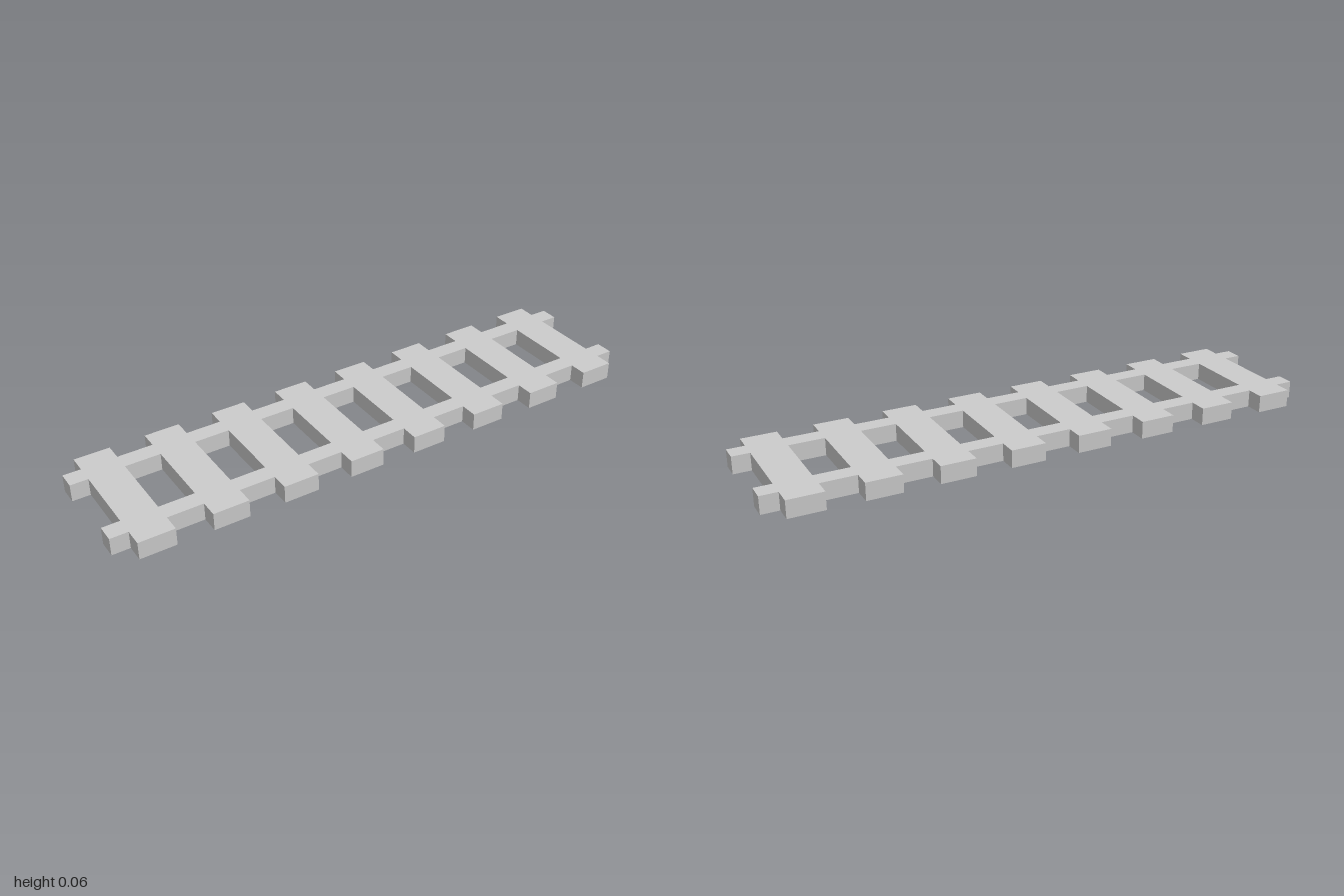
import * as THREE from 'three';

const COUNT = 8;            // sleepers
const PITCH = 0.25;         // sleeper spacing
const HALF_WIDTH = 0.0625;  // half a sleeper's width
const HALF_LENGTH = 0.25;   // half a sleeper's length
const RAIL_OUT = 0.1875;    // outer edge of each rail
const RAIL_IN = 0.125;      // inner edge of each rail
const HEIGHT = 0.0625;

const sleeperX = (i) => (i - (COUNT - 1) / 2) * PITCH;

// Outline of the flush rails and sleepers, with a hole between each sleeper pair
function trackShape() {
  const side = [[-1, -RAIL_OUT]];
  for (let i = 0; i < COUNT; i++) {
    const a = sleeperX(i) - HALF_WIDTH, b = sleeperX(i) + HALF_WIDTH;
    side.push([a, -RAIL_OUT], [a, -HALF_LENGTH], [b, -HALF_LENGTH], [b, -RAIL_OUT]);
  }
  side.push([1, -RAIL_OUT]);

  // Open rail ends: notch in to the face of the last sleeper
  const endX = sleeperX(COUNT - 1) + HALF_WIDTH;
  side.push([1, -RAIL_IN], [endX, -RAIL_IN], [endX, RAIL_IN], [1, RAIL_IN]);

  // The other half is the same run turned by 180 degrees
  const outline = [...side, ...side.map(([x, y]) => [-x, -y])];
  const shape = new THREE.Shape(outline.map(([x, y]) => new THREE.Vector2(x, y)));

  for (let i = 0; i < COUNT - 1; i++) {
    const a = sleeperX(i) + HALF_WIDTH, b = sleeperX(i + 1) - HALF_WIDTH;
    shape.holes.push(new THREE.Path([
      new THREE.Vector2(a, -RAIL_IN), new THREE.Vector2(a, RAIL_IN),
      new THREE.Vector2(b, RAIL_IN), new THREE.Vector2(b, -RAIL_IN),
    ]));
  }
  return shape;
}

export function createModel() {
  const group = new THREE.Group();
  group.name = 'railwayTrack';

  // Lay the extrusion flat so its depth becomes the height
  const geometry = new THREE.ExtrudeGeometry(trackShape(), { depth: HEIGHT, bevelEnabled: false });
  geometry.rotateX(-Math.PI / 2);

  const track = new THREE.Mesh(
    geometry,
    new THREE.MeshStandardMaterial({ color: 0xcccccc, flatShading: true }),
  );
  track.name = 'railsAndSleepers';
  group.add(track);
  return group;
}
